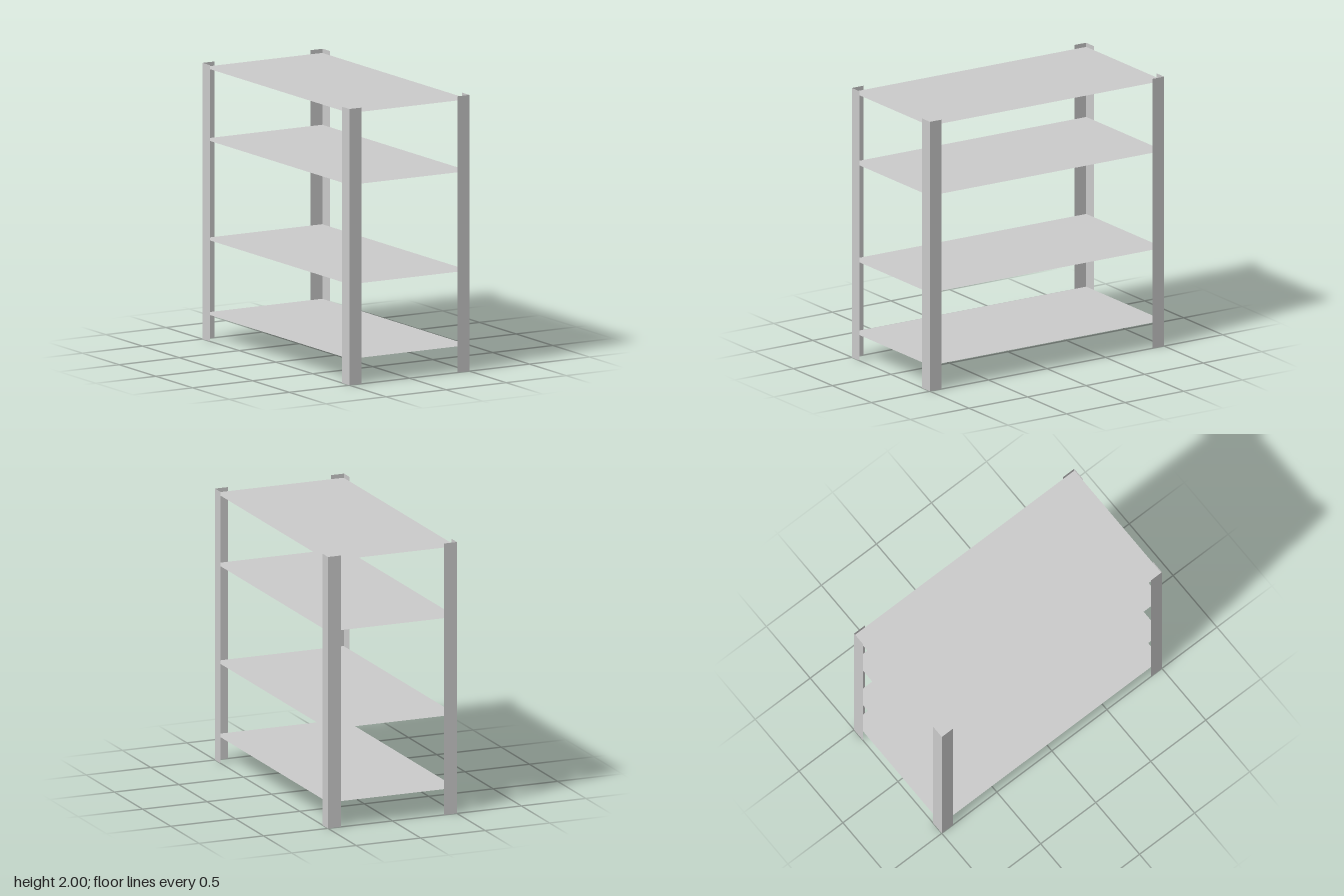
import * as THREE from 'three';

const WIDTH = 1, DEPTH = 2, HEIGHT = 2, FLANGE = 0.1;
const SHELF_HEIGHTS = [0.19, 0.73, 1.45, 1.97];

export function createModel() {
  const group = new THREE.Group();
  const material = new THREE.MeshStandardMaterial({
    color: 0xcccccc, flatShading: true, side: THREE.DoubleSide,
  });

  // Thin sheet-metal shelves
  const shelfGeometry = new THREE.PlaneGeometry(WIDTH - 0.006, DEPTH).rotateX(-Math.PI / 2);
  SHELF_HEIGHTS.forEach((y, i) => {
    const shelf = new THREE.Mesh(shelfGeometry, material);
    shelf.name = `shelf${i + 1}`;
    shelf.position.y = y;
    group.add(shelf);
  });

  // L-section corner posts, each made of two thin flanges
  const faceGeometry = new THREE.PlaneGeometry(FLANGE, HEIGHT);
  const sideGeometry = faceGeometry.clone().rotateY(Math.PI / 2);
  for (const sx of [-1, 1]) {
    for (const sz of [-1, 1]) {
      const post = new THREE.Group();
      post.name = `${sz > 0 ? 'front' : 'back'}${sx > 0 ? 'Left' : 'Right'}Post`;
      post.position.set(sx * WIDTH / 2, HEIGHT / 2, sz * DEPTH / 2);

      const face = new THREE.Mesh(faceGeometry, material);
      face.name = 'endFlange';
      face.position.x = -sx * FLANGE / 2;
      if (sz < 0) face.rotation.y = Math.PI;

      const side = new THREE.Mesh(sideGeometry, material);
      side.name = 'sideFlange';
      side.position.z = -sz * FLANGE / 2;
      if (sx < 0) side.rotation.y = Math.PI;

      post.add(face, side);
      group.add(post);
    }
  }
  return group;
}
